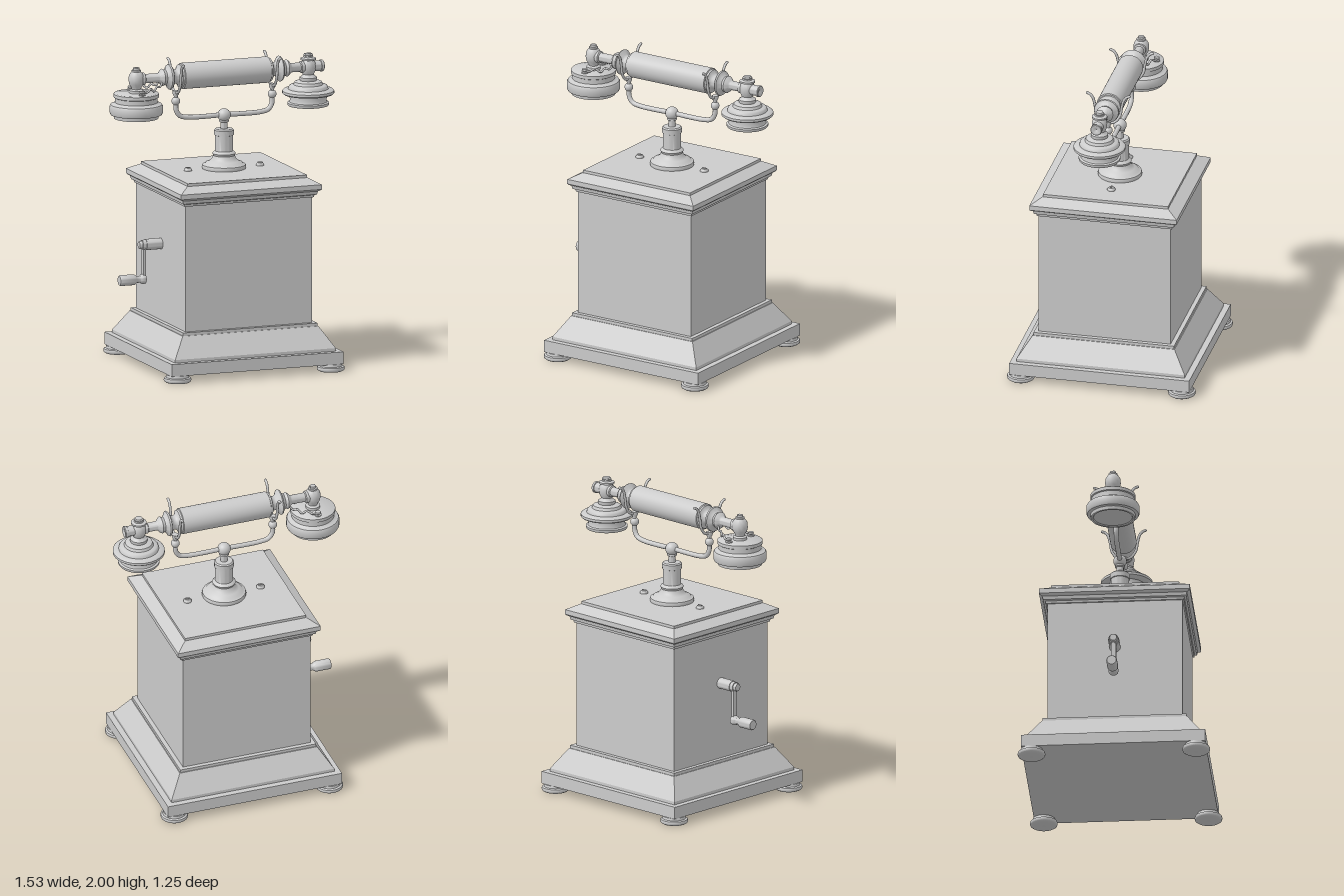
import * as THREE from 'three';
import { toCreasedNormals } from 'three/addons/utils/BufferGeometryUtils.js';

const material = new THREE.MeshStandardMaterial({ color: 0xcccccc });
const CX = 0.01; // axis of the cabinet and pedestal

function add(parent, name, geometry, x = 0, y = 0, z = 0) {
  const mesh = new THREE.Mesh(geometry, material);
  mesh.name = name;
  mesh.position.set(x, y, z);
  parent.add(mesh);
  return mesh;
}

// Turned solid from [radius, height] pairs, listed bottom to top
function turned(profile, segments = 40) {
  const points = profile.map(([r, y]) => new THREE.Vector2(r, y));
  return toCreasedNormals(new THREE.LatheGeometry(points, segments), 0.7);
}

// Turned solid lying along x, from [radius, x] pairs
const turnedAlongX = (profile, segments) => turned(profile, segments).rotateZ(-Math.PI / 2);

// Square moulding from [half width, height] pairs
function squareMoulding(profile) {
  const points = profile.map(([h, y]) => new THREE.Vector2(h * Math.SQRT2, y));
  return toCreasedNormals(new THREE.LatheGeometry(points, 4).rotateY(Math.PI / 4), 0.1);
}

function tube(points, radius, segments = 40) {
  const curve = new THREE.CatmullRomCurve3(points.map((p) => new THREE.Vector3(...p)));
  return new THREE.TubeGeometry(curve, segments, radius, 10);
}

function buildCabinet() {
  const g = new THREE.Group();
  g.name = 'cabinet';
  add(g, 'plinth', squareMoulding([[0, 0.05], [0.596, 0.05], [0.596, 0.13], [0, 0.13]]), CX);
  add(g, 'slopedBase', squareMoulding([
    [0.557, 0.13], [0.557, 0.15], [0.47, 0.285], [0.465, 0.285], [0.465, 0.305], [0.43, 0.305]]), CX);
  add(g, 'body', squareMoulding([[0.437, 0.3], [0.437, 1.14]]), CX);
  add(g, 'cornice', squareMoulding([
    [0.43, 1.13], [0.447, 1.13], [0.45, 1.145], [0.463, 1.15], [0.468, 1.172], [0.48, 1.178],
    [0.488, 1.186], [0.488, 1.217], [0.418, 1.255], [0.414, 1.255], [0.414, 1.273], [0, 1.273]]), CX);
  for (const sx of [-1, 1]) {
    for (const sz of [-1, 1]) {
      add(g, 'foot', turned([[0, 0], [0.075, 0], [0.087, 0.008], [0.09, 0.018], [0.087, 0.029],
        [0.075, 0.034], [0.072, 0.05], [0, 0.05]]), CX + sx * 0.531, 0, sz * 0.533);
    }
    // Slotted screws in the lid
    add(g, 'screw', turned([[0.026, 1.27], [0.026, 1.282], [0.018, 1.292], [0, 1.292]], 20), CX + sx * 0.25);
    add(g, 'screwRidge', new THREE.BoxGeometry(0.03, 0.008, 0.007), CX + sx * 0.25, 1.293);
  }
  return g;
}

function buildCrank() {
  const g = new THREE.Group();
  g.name = 'crank';
  add(g, 'crankBoss', turnedAlongX([[0, -0.58], [0.022, -0.58], [0.026, -0.574], [0.026, -0.56],
    [0.032, -0.56], [0.032, -0.535], [0.036, -0.535], [0.036, -0.42]], 28), 0, 0.808);
  add(g, 'crankArm', new THREE.BoxGeometry(0.018, 0.225, 0.034), -0.546, 0.695);
  add(g, 'crankHandle', turnedAlongX([[0, -0.716], [0.03, -0.716], [0.035, -0.71], [0.035, -0.615],
    [0.029, -0.605], [0.022, -0.595], [0.022, -0.575], [0.03, -0.565], [0.033, -0.55],
    [0.03, -0.537], [0, -0.535]], 28), 0, 0.583);
  return g;
}

function buildPedestal() {
  const g = new THREE.Group();
  g.name = 'pedestal';
  add(g, 'column', turned([[0.14, 1.27], [0.144, 1.285], [0.14, 1.298], [0.125, 1.303], [0.118, 1.313],
    [0.095, 1.322], [0.078, 1.337], [0.07, 1.358], [0.072, 1.363], [0.076, 1.372], [0.068, 1.382],
    [0.058, 1.388], [0.058, 1.49], [0.063, 1.492], [0.064, 1.525], [0.056, 1.533], [0.024, 1.535],
    [0.024, 1.575], [0.032, 1.58], [0.03, 1.593], [0, 1.595]]), CX);
  add(g, 'ball', new THREE.SphereGeometry(0.043, 28, 20), CX, 1.622);
  return g;
}

function buildCradle() {
  const g = new THREE.Group();
  g.name = 'cradle';
  for (const s of [-1, 1]) {
    const x = CX + s * 0.334;
    add(g, 'cradleArm', tube([[CX, 1.625, 0], [CX + s * 0.14, 1.622, 0], [CX + s * 0.25, 1.625, 0],
      [CX + s * 0.305, 1.638, 0], [CX + s * 0.331, 1.675, 0], [x, 1.73, 0]], 0.016));
    add(g, 'cradleBall', new THREE.SphereGeometry(0.028, 24, 16), x, 1.737);
    add(g, 'forkSocket', turned([[0.014, 1.75], [0.013, 1.77], [0.021, 1.785], [0.021, 1.805], [0, 1.81]], 20), x);
    for (const z of [-1, 1]) {
      add(g, 'forkHorn', tube([[x, 1.79, 0], [x, 1.804, z * 0.045], [x, 1.85, z * 0.078],
        [x, 1.905, z * 0.088], [x, 1.96, z * 0.102], [x, 1.985, z * 0.122], [x, 1.992, z * 0.14]], 0.009));
      add(g, 'hornTip', new THREE.SphereGeometry(0.009, 10, 8), x, 1.992, z * 0.14);
    }
  }
  return g;
}

function buildHandset() {
  const g = new THREE.Group();
  g.name = 'handset';
  const Y = 1.899;
  // Turned grip, mirrored about its middle
  const half = [[0.085, 0.298], [0.078, 0.302], [0.076, 0.314], [0.06, 0.32], [0.048, 0.332], [0.046, 0.348],
    [0.054, 0.362], [0.075, 0.372], [0.084, 0.38], [0.08, 0.389], [0.06, 0.398], [0.05, 0.412],
    [0.052, 0.424], [0.056, 0.43], [0.048, 0.442], [0.036, 0.452], [0.03, 0.46], [0.03, 0.58]];
  const left = half.map(([r, x]) => [r, -x]).reverse();
  add(g, 'grip', turnedAlongX([...left, ...half]), 0.013, Y);

  // Receiver joint and cup
  const rx = -0.598;
  add(g, 'receiverJoint', turned([[0.046, 1.8], [0.046, 1.828], [0.03, 1.836], [0.034, 1.85], [0.046, 1.868],
    [0.051, 1.895], [0.048, 1.925], [0.036, 1.944], [0.03, 1.95], [0.03, 1.96], [0, 1.962]], 28), rx);
  add(g, 'receiverNut', new THREE.CylinderGeometry(0.02, 0.02, 0.02, 6), rx, 1.966);
  add(g, 'receiverCollar', turnedAlongX([[0.04, -0.57], [0.04, -0.545], [0.03, -0.54]], 28), 0, Y);
  add(g, 'receiverCup', turned([[0, 1.652], [0.125, 1.652], [0.13, 1.645], [0.143, 1.645], [0.146, 1.667],
    [0.166, 1.67], [0.172, 1.682], [0.172, 1.725], [0.166, 1.736], [0.146, 1.742], [0.138, 1.75],
    [0.138, 1.78], [0.146, 1.784], [0.146, 1.806], [0.14, 1.811], [0, 1.811]], 48), rx);
  for (const s of [-1, 1]) {
    add(g, 'terminal', turned([[0.022, 1.808], [0.022, 1.818], [0.014, 1.822], [0.019, 1.828],
      [0.017, 1.838], [0, 1.841]], 18), rx, 0, s * 0.103);
    add(g, 'wire', tube([[rx, 1.825, s * 0.103], [-0.56, 1.828, s * 0.1], [-0.53, 1.845, s * 0.082],
      [-0.5, 1.825, s * 0.066], [-0.475, 1.85, s * 0.05], [-0.45, 1.845, s * 0.038],
      [-0.43, 1.87, s * 0.03]], 0.007));
  }

  // Mouthpiece joint and horn
  const mx = 0.594;
  add(g, 'mouthpieceJoint', turned([[0.05, 1.8], [0.056, 1.815], [0.056, 1.83], [0.042, 1.838],
    [0.036, 1.85], [0.046, 1.87], [0.05, 1.9], [0.046, 1.925], [0.036, 1.94], [0.05, 1.944],
    [0.05, 1.955], [0.032, 1.962], [0.03, 1.97], [0, 1.97]], 28), mx);
  add(g, 'mouthpieceNut', turned([[0.028, 1.965], [0.032, 1.975], [0.026, 1.985], [0, 1.988]], 6), mx);
  add(g, 'mouthpieceSleeve', turnedAlongX([[0.03, 0.535], [0.038, 0.54], [0.038, 0.56], [0.034, 0.565],
    [0.034, 0.675], [0.038, 0.677], [0.038, 0.692], [0.034, 0.696], [0.02, 0.696], [0, 0.68]], 28), 0, Y);
  add(g, 'mouthpieceHorn', turned([[0, 1.66], [0.105, 1.655], [0.115, 1.645], [0.13, 1.645], [0.135, 1.652],
    [0.135, 1.664], [0.122, 1.67], [0.118, 1.68], [0.122, 1.715], [0.158, 1.718], [0.168, 1.726],
    [0.168, 1.742], [0.16, 1.75], [0.13, 1.754], [0.126, 1.77], [0.118, 1.778], [0.095, 1.782],
    [0.088, 1.8], [0.07, 1.808], [0, 1.81]], 48), mx);
  return g;
}

export function createModel() {
  const model = new THREE.Group();
  model.name = 'crankTelephone';
  model.add(buildCabinet(), buildCrank(), buildPedestal(), buildCradle(), buildHandset());
  return model;
}
